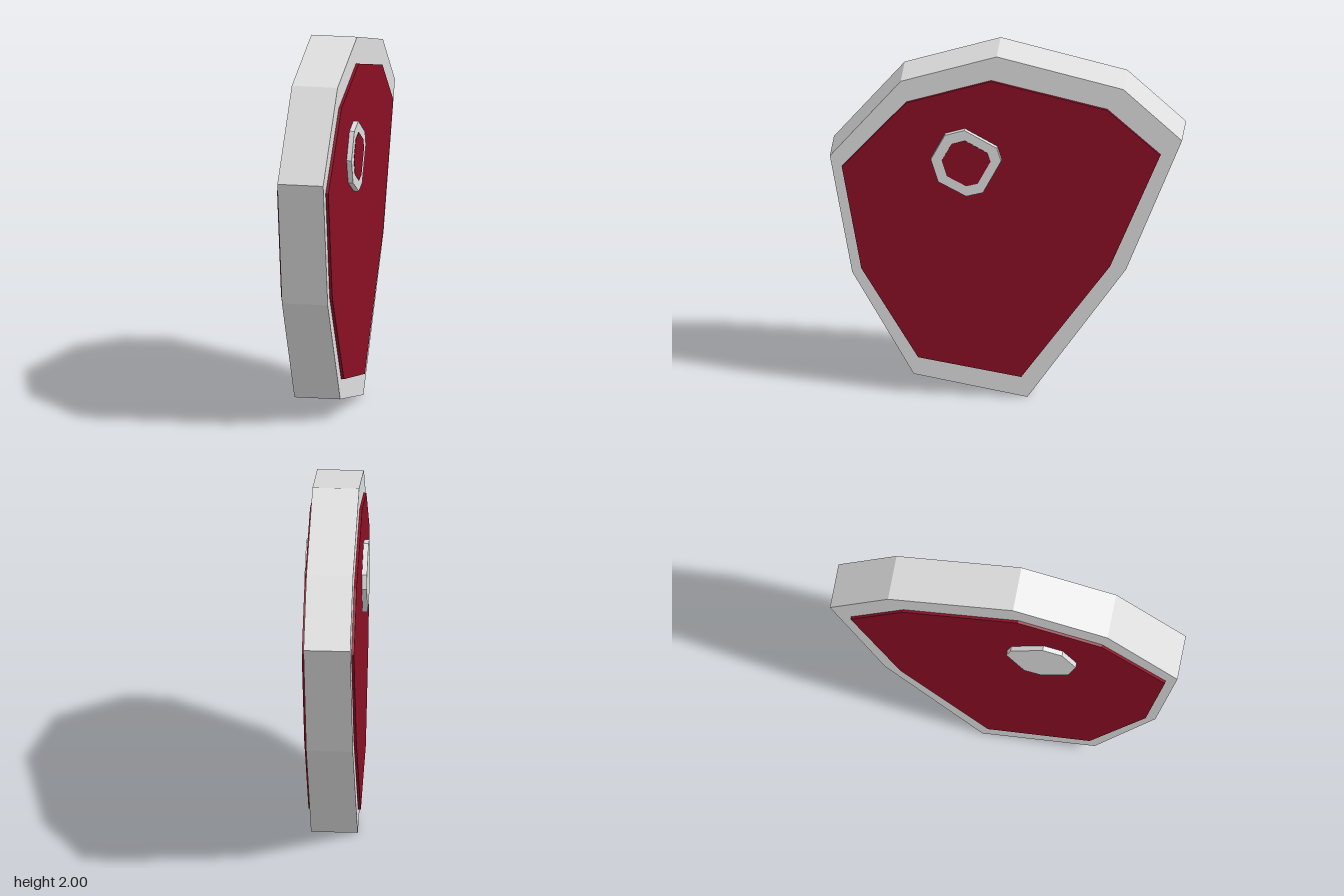
import * as THREE from 'three';

// Outlines as [z, y] points, seen from the side
const RIM = [[0.05, 2], [0.565, 1.835], [0.945, 1.38], [0.825, 0.7], [0.495, 0.112],
  [-0.115, 0], [-0.645, 0.775], [-0.945, 1.545], [-0.63, 1.835]];
const MEAT = [[0.08, 1.86], [0.535, 1.715], [0.88, 1.325], [0.775, 0.73], [0.47, 0.217],
  [-0.083, 0.123], [-0.56, 0.795], [-0.83, 1.46], [-0.545, 1.715]];
const BONE = [[0.22, 1.578], [0.325, 1.545], [0.4, 1.4], [0.36, 1.27], [0.21, 1.19],
  [0.12, 1.215], [0.022, 1.405], [0.045, 1.48]];

// Shrinks an outline around its middle
function shrink(points, k, cz, cy) {
  return points.map(([z, y]) => [cz + (z - cz) * k, cy + (y - cy) * k]);
}

// Slab with the given outline, running from x0 to x1
function slab(name, points, x0, x1, material) {
  const shape = new THREE.Shape(points.map(([z, y]) => new THREE.Vector2(z, y)));
  const geometry = new THREE.ExtrudeGeometry(shape, { depth: x1 - x0, bevelEnabled: false });
  geometry.rotateY(-Math.PI / 2).translate(x1, 0, 0);
  const mesh = new THREE.Mesh(geometry, material);
  mesh.name = name;
  return mesh;
}

export function createModel() {
  const fat = new THREE.MeshStandardMaterial({ color: 0xdedede });
  fat.name = 'pale fat and bone';
  const red = new THREE.MeshStandardMaterial({ color: 0x8a0f24 });
  red.name = 'raw meat red';

  const model = new THREE.Group();
  model.name = 'steak';
  model.add(
    slab('fatRim', RIM, -0.125, 0.125, fat),
    slab('meat', MEAT, -0.14, 0.14, red),
    slab('bone', BONE, -0.167, 0.167, fat),
    // Marrow shows on the left face only
    slab('marrow', shrink(BONE, 0.69, 0.21, 1.385), 0.163, 0.169, red),
  );
  return model;
}
